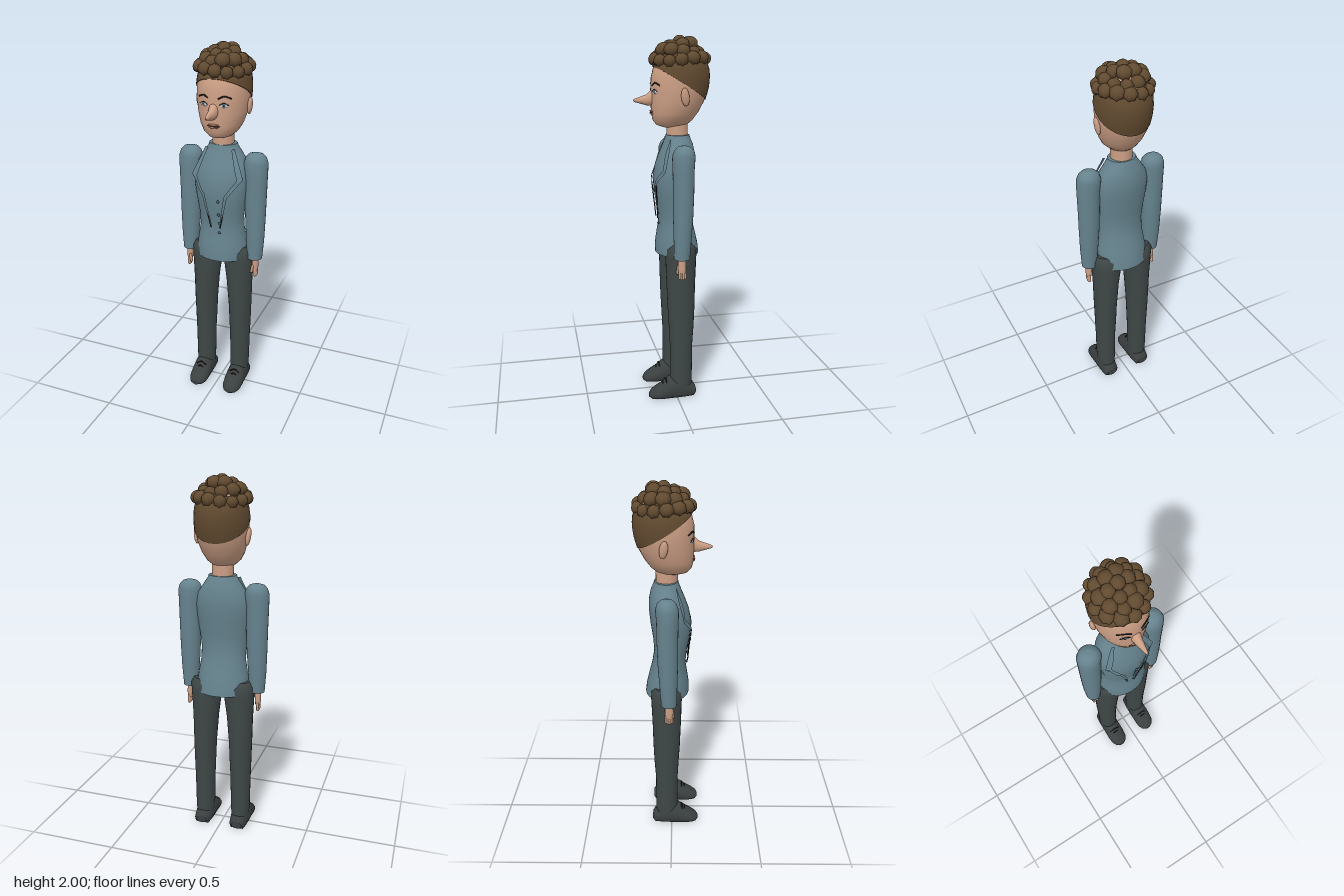
import * as THREE from 'three';

const mat = (name, color, side = THREE.FrontSide) => {
  const m = new THREE.MeshStandardMaterial({ color, side });
  m.name = name;
  return m;
};

// Skins a stack of closed rings; the ends are closed flat
function skinRows(rows) {
  const n = rows[0].length, pos = [], idx = [];
  const add = p => pos.push(p.x, p.y, p.z) / 3 - 1;
  rows.forEach(r => r.forEach(add));
  for (let i = 0; i < rows.length - 1; i++) for (let j = 0; j < n; j++) {
    const k = (j + 1) % n, a = i * n + j, b = i * n + k;
    idx.push(a, b, b + n, a, b + n, a + n);
  }
  for (const top of [false, true]) {
    const ring = top ? rows[rows.length - 1] : rows[0];
    const mid = ring.reduce((s, p) => s.add(p), new THREE.Vector3()).divideScalar(n);
    const c = add(mid), first = c + 1;
    ring.forEach(add);
    for (let j = 0; j < n; j++) {
      const a = first + j, b = first + (j + 1) % n;
      idx.push(c, top ? a : b, top ? b : a);
    }
  }
  const g = new THREE.BufferGeometry();
  g.setAttribute('position', new THREE.Float32BufferAttribute(pos, 3));
  g.setIndex(idx);
  g.computeVertexNormals();
  return g;
}
const angles = n => Array.from({ length: n }, (_, i) => i / n * Math.PI * 2);

// Upright loft, sections [y, frontZ, backZ, halfWidth, centreX]
const loftY = (secs, s = 1, n = 24) => skinRows(secs.map(([y, f, b, rx, cx = 0]) =>
  angles(n).map(a => new THREE.Vector3(s * cx + rx * Math.sin(a), y, (f + b) / 2 + (f - b) / 2 * Math.cos(a)))));

// Forward loft, sections [z, centreY, halfHeight, halfWidth], never below the ground
const loftZ = (secs, cx = 0, n = 16) => skinRows(secs.map(([z, cy, ry, rx]) =>
  angles(n).map(a => new THREE.Vector3(cx - rx * Math.sin(a), Math.max(0, cy + ry * Math.cos(a)), z))));

// Section of a profile at height y
function sectionAt(secs, y) {
  let i = 0;
  while (i < secs.length - 2 && secs[i + 1][0] < y) i++;
  const t = THREE.MathUtils.clamp((y - secs[i][0]) / (secs[i + 1][0] - secs[i][0]), 0, 1);
  return secs[i].map((v, k) => v + (secs[i + 1][k] - v) * t);
}
function frontZ(secs, x, y) {
  const [, f, b, rx] = sectionAt(secs, y);
  const u = Math.min(0.82, Math.abs(x) / rx);
  return (f + b) / 2 + (f - b) / 2 * Math.sqrt(1 - u * u);
}

const HEAD = [[1.522, .045, -.04, .03], [1.535, .085, -.08, .062], [1.56, .105, -.11, .09], [1.6, .113, -.14, .112],
  [1.66, .115, -.172, .13], [1.72, .115, -.19, .138], [1.78, .113, -.198, .141], [1.84, .098, -.192, .134],
  [1.9, .06, -.16, .108], [1.935, .01, -.11, .06], [1.945, -.03, -.06, .015]];
const TORSO = [[.83, .094, -.146, .148], [.88, .095, -.14, .147], [.94, .086, -.126, .138], [1.01, .075, -.108, .126],
  [1.08, .081, -.097, .126], [1.16, .096, -.102, .137], [1.25, .105, -.115, .15], [1.32, .092, -.122, .152],
  [1.38, .07, -.122, .138], [1.43, .05, -.112, .105], [1.465, .038, -.098, .082], [1.482, .034, -.092, .076]];
const ARM = [[.838, .028, -.056, .042, .193], [.95, .031, -.064, .05, .193], [1.08, .034, -.073, .056, .191],
  [1.2, .034, -.077, .059, .19], [1.32, .036, -.078, .062, .19], [1.39, .038, -.083, .066, .187],
  [1.42, .026, -.077, .056, .187], [1.437, .01, -.06, .04, .187], [1.444, -.012, -.04, .018, .187]];
const LEG = [[.05, .03, -.09, .05, .107], [.1, .034, -.092, .054, .107], [.3, .034, -.092, .058, .107],
  [.42, .04, -.1, .062, .106], [.52, .046, -.104, .065, .105], [.68, .052, -.108, .073, .1],
  [.82, .056, -.114, .086, .094], [.87, .054, -.115, .087, .095], [.9, .03, -.09, .065, .1]];
const SHOE = [[-.112, .025, .02, .03], [-.098, .026, .044, .045], [-.05, .035, .065, .052], [0, .045, .082, .055],
  [.035, .042, .076, .055], [.075, .03, .054, .056], [.115, .02, .038, .052], [.142, .014, .026, .038], [.156, .01, .01, .014]];

export function createModel() {
  const root = new THREE.Group();
  const M = {
    skin: mat('skin', 0xcc9f85), jacket: mat('jacket', 0x66838e, THREE.DoubleSide),
    trousers: mat('trousers', 0x3f4747), shoe: mat('shoe leather', 0x3a3f40), hair: mat('hair', 0x614a30),
    dark: mat('dark detail', 0x231d1a), white: mat('eye white', 0xd8d6d0), iris: mat('iris', 0x5f7f99),
    lip: mat('lip', 0xb07d69), button: mat('button', 0x46606b),
  };
  const put = (name, geo, m, parent = root) => {
    const mesh = new THREE.Mesh(geo, m);
    mesh.name = name;
    parent.add(mesh);
    return mesh;
  };
  const ball = (name, m, p, s, parent = root) => {
    const b = put(name, new THREE.SphereGeometry(1, 16, 10), m, parent);
    b.position.set(...p);
    b.scale.set(...s);
    return b;
  };
  const tube = (pts, r) => new THREE.TubeGeometry(
    new THREE.CatmullRomCurve3(pts.map(p => new THREE.Vector3(...p))), 10, r, 6);
  const onFace = (x, y, off = 0) => [x, y, frontZ(HEAD, x, y) + off];

  // Head and neck
  put('head', loftY(HEAD, 1, 32), M.skin);
  const neck = put('neck', new THREE.CylinderGeometry(.058, .058, .13, 20), M.skin);
  neck.position.set(0, 1.505, -.027);
  put('nose', loftZ([[.08, 1.69, .055, .036], [.112, 1.678, .042, .026], [.14, 1.667, .028, .02],
    [.175, 1.666, .017, .013], [.2, 1.665, .009, .008], [.21, 1.665, .003, .003]]), M.skin);
  ball('upperLip', M.lip, onFace(0, 1.609, -.001), [.03, .006, .008]);
  ball('lowerLip', M.lip, onFace(0, 1.596, -.001), [.026, .007, .009]);
  put('mouthLine', tube([-.036, 0, .036].map(x => onFace(x, 1.602, x ? .001 : .006)), .0018), M.dark);

  for (const s of [-1, 1]) {
    // Eyes are layered thin discs turned with the face
    const eye = new THREE.Group();
    eye.name = s > 0 ? 'leftEye' : 'rightEye';
    eye.position.set(...onFace(s * .054, 1.712));
    eye.rotation.y = s * .35;
    root.add(eye);
    ball('eyeWhite', M.white, [0, 0, 0], [.024, .011, .004], eye);
    ball('iris', M.iris, [0, 0, .003], [.0095, .0095, .003], eye);
    ball('pupil', M.dark, [0, 0, .005], [.0045, .0045, .002], eye);
    put('lashLine', tube([[-.025, 0, .002], [0, .012, .004], [.025, 0, .001]], .0022), M.dark, eye);
    put('eyebrow', tube([[.026, 1.744], [.055, 1.757], [.088, 1.744]].map(([x, y]) => onFace(s * x, y, .001)), .0042), M.dark);
    const ear = ball('ear', M.skin, [s * .141, 1.688, -.04], [.013, .048, .022]);
    ear.rotation.set(.15, 0, -s * .12);
  }

  // Cropped hair: a shell over the skull above a sloping hairline
  const skull = (y, a) => {
    const [, f, b, rx] = sectionAt(HEAD, y);
    return new THREE.Vector3((rx + .005) * Math.sin(a), y, (f + b) / 2 + ((f - b) / 2 + .005) * Math.cos(a));
  };
  const hairRows = Array.from({ length: 10 }, (_, i) => angles(32).map(a => {
    let y = 1.8;
    for (let k = 0; k < 12; k++) y = 1.838 - (.1 - skull(y, a).z) * .62;
    return skull(y + (1.95 - y) * i / 9, a);
  }));
  put('croppedHair', skinRows(hairRows), M.hair);

  // Curls: scalloped domes in tiers, leaning outwards
  const curlGeo = new THREE.SphereGeometry(1, 14, 7);
  const cp = curlGeo.attributes.position;
  for (let i = 0; i < cp.count; i++) {
    const a = Math.atan2(cp.getZ(i), cp.getX(i)), low = (1 - cp.getY(i)) / 2;
    const k = 1 + .14 * low * Math.cos(7 * a);
    cp.setXYZ(i, cp.getX(i) * k, cp.getY(i), cp.getZ(i) * k);
  }
  curlGeo.computeVertexNormals();
  const curls = new THREE.Group();
  curls.name = 'curls';
  root.add(curls);
  const up = new THREE.Vector3(0, 1, 0);
  [[13, 1.878, .125, .132, .035], [10, 1.918, .094, .1, .036], [6, 1.95, .052, .06, .036], [1, 1.966, 0, 0, .036]]
    .forEach(([n, y, rx, rz, r], tier) => angles(n).forEach((a, i) => {
      const b = a + tier * .3, wob = Math.sin(i * 5.3 + tier * 2);
      const c = put('curl', curlGeo, M.hair, curls);
      c.position.set(rx * Math.sin(b), y + (tier < 3 ? .01 * wob : 0), -.04 + rz * Math.cos(b));
      c.scale.set(r * (1 + .1 * wob), r * .92, r * (1 + .1 * wob));
      c.quaternion.setFromUnitVectors(up, new THREE.Vector3(Math.sin(b) * rx * 6, 1, Math.cos(b) * rz * 6).normalize());
    }));

  // Jacket body, buttons
  put('jacketBody', loftY(TORSO, 1, 32), M.jacket);
  for (const y of [1, 1.055, 1.11, 1.19])
    ball('button', M.button, [.02, y, frontZ(TORSO, .02, y) + .006], [.008, .008, .006]);

  for (const s of [-1, 1]) {
    // Lapel: a bent strip lying just off the chest, given as [outerX, outerY, innerX, innerY]
    const pts = [[.082, 1.465, .066, 1.46], [.145, 1.315, .114, 1.31], [.07, 1.215, .055, 1.225], [.03, 1.03, .02, 1.03]];
    const pos = [], idx = [];
    for (let i = 0; i <= 18; i++) {
      const k = Math.min(2, Math.floor(i / 6)), t = i / 6 - k;
      const [ox, oy, ix, iy] = pts[k].map((v, j) => v + (pts[k + 1][j] - v) * t);
      pos.push(s * ox, oy, frontZ(TORSO, ox, oy) + .014, s * ix, iy, frontZ(TORSO, ix, iy) + .012);
      const a = i * 2;
      if (i < 18) idx.push(...(s > 0 ? [a, a + 1, a + 3, a, a + 3, a + 2] : [a, a + 3, a + 1, a, a + 2, a + 3]));
    }
    const lapel = new THREE.BufferGeometry();
    lapel.setAttribute('position', new THREE.Float32BufferAttribute(pos, 3));
    lapel.setIndex(idx);
    lapel.computeVertexNormals();
    put('lapel', lapel, M.jacket);
    const edge = pts.slice(2).map(([ox, oy]) => [s * (ox - .004), oy, frontZ(TORSO, ox, oy) + .012]);
    put('lapelEdge', tube(edge, .003), M.dark);

    // Sleeve and hand
    put('sleeve', loftY(ARM, s), M.jacket);
    put('palm', loftY([[.762, .006, -.034, .013, .2], [.79, .01, -.036, .017, .199], [.845, .008, -.034, .018, .197]], s, 14), M.skin);
    for (let i = 0; i < 4; i++) {
      const f = put('finger', new THREE.CapsuleGeometry(.0075, .035, 3, 8), M.skin);
      f.position.set(s * .202, .752 - (i % 3 ? .004 : 0), .001 - i * .0105);
    }
    const thumb = put('thumb', new THREE.CapsuleGeometry(.008, .035, 3, 8), M.skin);
    thumb.position.set(s * .186, .775, .008);
    thumb.rotation.z = -s * .15;

    // Trouser leg, shoe and laces
    put('trouserLeg', loftY(LEG, s), M.trousers);
    put('shoe', loftZ(SHOE, s * .107, 20), M.shoe);
    for (const [y, z] of [[.102, .06], [.083, .076]])
      put('lace', tube([[s * .107 - .03, y - .015, z], [s * .107, y + .003, z], [s * .107 + .03, y - .015, z]], .0035), M.dark);
  }
  return root;
}
